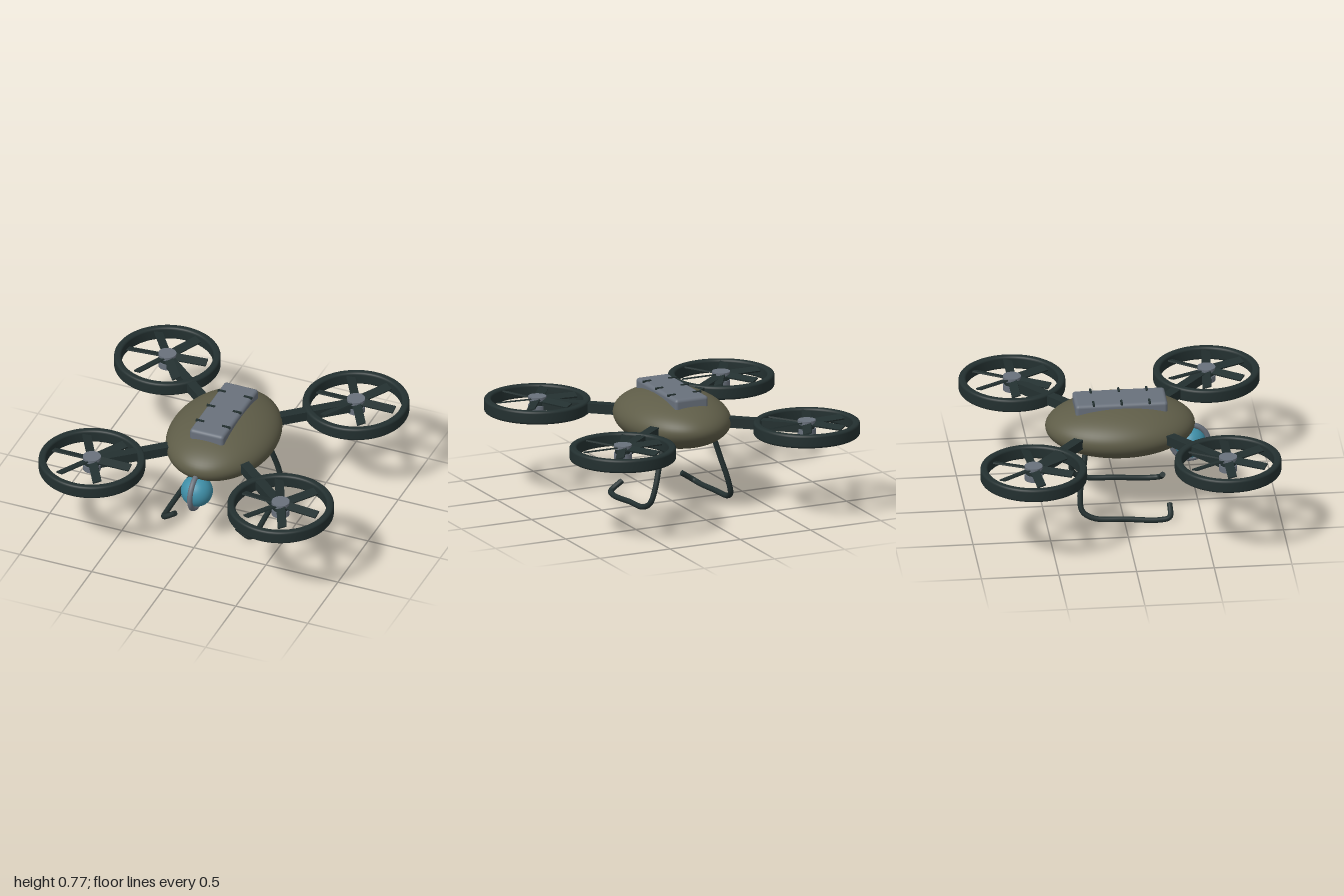
import * as THREE from 'three';
import { RoundedBoxGeometry } from 'three/addons/geometries/RoundedBoxGeometry.js';

const mat = (name, color, side = THREE.FrontSide) => {
  const m = new THREE.MeshStandardMaterial({ color, side });
  m.name = name;
  return m;
};

export function createModel() {
  const olive = mat('olive shell', 0x5f5d48);
  const dark = mat('dark frame', 0x233030);
  const grey = mat('grey metal', 0x69717c);
  const teal = mat('teal lens', 0x3f8fa8);

  const model = new THREE.Group();
  model.name = 'quadcopter';
  const add = (parent, name, geometry, material, x = 0, y = 0, z = 0) => {
    const mesh = new THREE.Mesh(geometry, material);
    mesh.name = name;
    mesh.position.set(x, y, z);
    parent.add(mesh);
    return mesh;
  };

  // Egg-shaped hull
  const hull = new THREE.SphereGeometry(1, 64, 40);
  hull.scale(0.352, 0.175, 0.481);
  add(model, 'hull', hull, olive, 0, 0.567, 0);

  // Battery pack on the back, with three pairs of clips
  add(model, 'batteryPack', new RoundedBoxGeometry(0.236, 0.1, 0.594, 4, 0.022), grey, 0, 0.712, 0);
  for (const z of [-0.18, 0, 0.18]) {
    for (const s of [-1, 1]) {
      add(model, 'batteryClip', new THREE.BoxGeometry(0.056, 0.014, 0.014), dark, s * 0.091, 0.762, z);
    }
  }

  // Camera ball in its upright ring
  add(model, 'cameraBall', new THREE.SphereGeometry(0.103, 40, 28), teal, 0, 0.416, 0.45);
  const gimbal = add(model, 'cameraRing', new THREE.TorusGeometry(0.118, 0.0175, 16, 56), grey, 0, 0.416, 0.45);
  gimbal.rotation.y = Math.PI / 2;

  // Rounded-rectangle section for the rotor guards
  const section = [];
  const corner = 0.016;
  [[0.326, -0.028], [0.326, 0.028], [0.31, 0.028], [0.31, -0.028]].forEach(([r, y], i) => {
    for (let k = 0; k <= 4; k++) {
      const a = (i - 1 + k / 4) * Math.PI / 2;
      section.push(new THREE.Vector2(r + corner * Math.cos(a), y + corner * Math.sin(a)));
    }
  });
  section.push(section[0].clone());
  const guardGeometry = new THREE.LatheGeometry(section, 72);
  const bladeGeometry = new THREE.BoxGeometry(0.23, 0.01, 0.058);

  // Four arms, each with a motor, six blades and a guard
  const hubX = 0.655, hubZ = 0.626;
  for (const [sx, sz, turn] of [[1, 1, -0.09], [-1, 1, 0], [1, -1, 0], [-1, -1, 0.09]]) {
    const start = new THREE.Vector3(sx * 0.2, 0.572, sz * 0.238);
    const end = new THREE.Vector3(sx * hubX, 0.572, sz * hubZ);
    const middle = start.clone().add(end).multiplyScalar(0.5);
    const arm = add(model, 'arm', new THREE.BoxGeometry(0.064, 0.064, start.distanceTo(end)), dark, ...middle);
    arm.rotation.y = Math.atan2(end.x - start.x, end.z - start.z);

    const rotor = new THREE.Group();
    rotor.name = 'rotor';
    rotor.position.set(end.x, 0, end.z);
    model.add(rotor);
    add(rotor, 'guard', guardGeometry, dark, 0, 0.568, 0);
    add(rotor, 'motor', new THREE.CylinderGeometry(0.058, 0.058, 0.04, 28), grey, 0, 0.546, 0);
    add(rotor, 'shaft', new THREE.CylinderGeometry(0.05, 0.05, 0.04, 28), dark, 0, 0.582, 0);
    add(rotor, 'hubCap', new THREE.CylinderGeometry(0.058, 0.058, 0.026, 28), grey, 0, 0.609, 0);

    const propeller = new THREE.Group();
    propeller.name = 'propeller';
    propeller.position.y = 0.602;
    propeller.rotation.y = turn;
    rotor.add(propeller);
    for (let i = 0; i < 6; i++) {
      const spoke = new THREE.Group();
      spoke.name = 'bladeMount';
      spoke.rotation.y = i * Math.PI / 3;
      propeller.add(spoke);
      add(spoke, 'blade', bladeGeometry, dark, 0.15).rotation.x = 0.3;
    }
  }

  // Bent tube landing legs, mirrored, with flat ends
  for (const s of [-1, 1]) {
    const points = [
      [0.18, 0.46, -0.243], [0.218, 0.33, -0.262], [0.258, 0.19, -0.285], [0.285, 0.095, -0.272],
      [0.3, 0.05, -0.2], [0.304, 0.035, 0], [0.308, 0.02, 0.22], [0.295, 0.03, 0.288], [0.212, 0.085, 0.298],
    ].map(([x, y, z]) => new THREE.Vector3(s * x, y, z));
    const path = new THREE.CatmullRomCurve3(points);
    add(model, 'landingLeg', new THREE.TubeGeometry(path, 80, 0.018, 12), dark);
    const tip = add(model, 'legEnd', new THREE.CircleGeometry(0.018, 12), dark, ...path.getPoint(1));
    tip.quaternion.setFromUnitVectors(new THREE.Vector3(0, 0, 1), path.getTangent(1));
  }

  return model;
}
